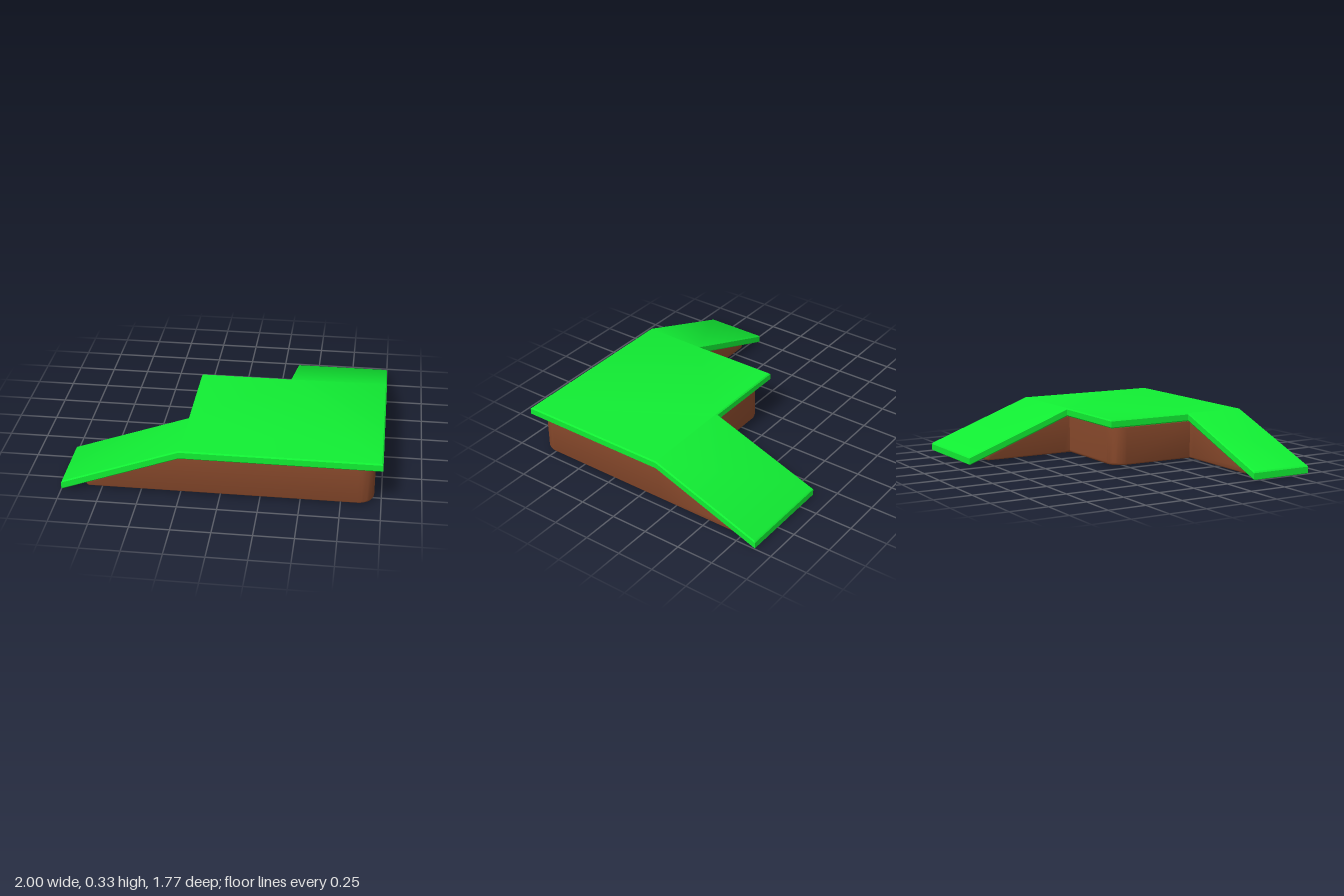
import * as THREE from 'three';
import { toCreasedNormals } from 'three/addons/utils/BufferGeometryUtils.js';

const FOLD_X = -0.25, FOLD_Z = -0.145;   // where the two ramps leave the plateau

// Height that is flat on the plateau and falls along both ramps
const slope = (flat, low) => (x, z) => {
  const a = Math.max(0, (FOLD_X - x) / 0.75, (FOLD_Z - z) / 0.74);
  return flat + (low - flat) * a;
};

// Expand [x, z, radius, tag] corners into an outline with rounded corners
function roundOutline(corners) {
  const out = [];
  corners.forEach(([x, z, r, tag], i) => {
    const p = new THREE.Vector2(x, z);
    if (!r) { out.push({ p, tag }); return; }
    const n = corners.length;
    const toward = (c) => new THREE.Vector2(c[0], c[1]).sub(p).setLength(r).add(p);
    const a = toward(corners[(i + n - 1) % n]), b = toward(corners[(i + 1) % n]);
    const centre = a.clone().add(b).sub(p);
    const steps = 8;
    for (let k = 0; k <= steps; k++) {
      const t = (k / steps) * Math.PI / 2;
      out.push({
        p: centre.clone()
          .addScaledVector(a.clone().sub(centre), Math.cos(t))
          .addScaledVector(b.clone().sub(centre), Math.sin(t)),
      });
    }
  });
  return out;
}

// Move every outline point inwards by a mitred distance
function inset(points, d) {
  const n = points.length;
  const normal = (a, b) => new THREE.Vector2(-(b.y - a.y), b.x - a.x).normalize();
  return points.map((p, i) => {
    const n1 = normal(points[(i + n - 1) % n], p), n2 = normal(p, points[(i + 1) % n]);
    return p.clone().addScaledVector(n1.clone().add(n2), -d / (1 + n1.dot(n2)));
  });
}

// Loft rings [inset, height(x, z)] from bottom to top; caps are split at the folds
function foldedSlab(corners, rings) {
  const outline = roundOutline(corners);
  const base = outline.map((o) => o.p);
  const n = base.length;
  const positions = [], index = [];
  const layers = rings.map(([d, height]) => {
    const pts = inset(base, d);
    pts.forEach((p) => positions.push(p.x, height(p.x, p.y), p.y));
    return pts;
  });
  for (let j = 0; j < rings.length - 1; j++) {
    for (let i = 0; i < n; i++) {
      const a = j * n + i, b = j * n + (i + 1) % n;
      index.push(a, b, b + n, a, b + n, a + n);
    }
  }
  // Cap regions: left ramp, back ramp and the plateau between them
  const at = (tag) => outline.findIndex((o) => o.tag === tag);
  const span = (from, to) => {
    const list = [from];
    for (let i = from; i !== to;) list.push(i = (i + 1) % n);
    return list;
  };
  const regions = [
    span(at('leftInner'), at('leftOuter')),
    span(at('backOuter'), at('backInner')),
    [...span(at('leftOuter'), at('backOuter')), ...span(at('backInner'), at('leftInner'))],
  ];
  const cap = (layer, flip) => regions.forEach((region) => {
    const contour = region.map((i) => new THREE.Vector2(layers[layer][i].x, -layers[layer][i].y));
    THREE.ShapeUtils.triangulateShape(contour, []).forEach((t) => {
      const [a, b, c] = t.map((k) => layer * n + region[k]);
      index.push(a, flip ? c : b, flip ? b : c);
    });
  });
  cap(0, true);
  cap(rings.length - 1, false);

  const geometry = new THREE.BufferGeometry();
  geometry.setAttribute('position', new THREE.Float32BufferAttribute(positions, 3));
  geometry.setIndex(index);
  return toCreasedNormals(geometry, 0.6);
}

export function createModel() {
  const group = new THREE.Group();
  group.name = 'steppedGrassRamp';
  const add = (name, geometry, color) => {
    const mesh = new THREE.Mesh(geometry, new THREE.MeshStandardMaterial({ color }));
    mesh.name = name;
    group.add(mesh);
  };
  const under = slope(0.275, 0), over = slope(0.33, 0.057);
  const raised = (f, d) => (x, z) => f(x, z) + d;

  // Grass sheet with thin chamfered edges
  const c = 0.008;
  add('grassTop', foldedSlab([
    [-1, 0.455, 0], [-1, 0.885, 0],
    [FOLD_X, 0.885, 0, 'leftOuter'], [1, 0.885, 0], [1, FOLD_Z, 0, 'backOuter'],
    [1, -0.885, 0], [0.355, -0.885, 0],
    [0.355, FOLD_Z, 0, 'backInner'], [FOLD_X, FOLD_Z, 0], [FOLD_X, 0.455, 0, 'leftInner'],
  ], [
    [c, under], [0, raised(under, c)], [0, raised(over, -c)], [c, over],
  ]), 0x11ee33);

  // Earth body, rounded at the corners and along its bottom edge
  const bevel = 0.02, floor = 0.01;
  const rings = [];
  for (let k = 0; k <= 4; k++) {
    const t = (k / 4) * Math.PI / 2;
    rings.push([bevel * (1 - Math.sin(t)), () => floor + bevel * (1 - Math.cos(t))]);
  }
  rings.push([0, raised(under, -0.01)], [0.01, under]);
  add('earthBody', foldedSlab([
    [-0.855, 0.5, 0.03], [-0.855, 0.845, 0.03],
    [FOLD_X, 0.845, 0, 'leftOuter'], [0.955, 0.845, 0.1], [0.955, FOLD_Z, 0, 'backOuter'],
    [0.955, -0.74, 0.03], [0.4, -0.74, 0.03],
    [0.4, FOLD_Z, 0, 'backInner'], [0.4, -0.1, 0],
    [-0.205, -0.1, 0.1], [-0.205, 0.5, 0], [FOLD_X, 0.5, 0, 'leftInner'],
  ], rings), 0x8a4a2c);

  return group;
}
